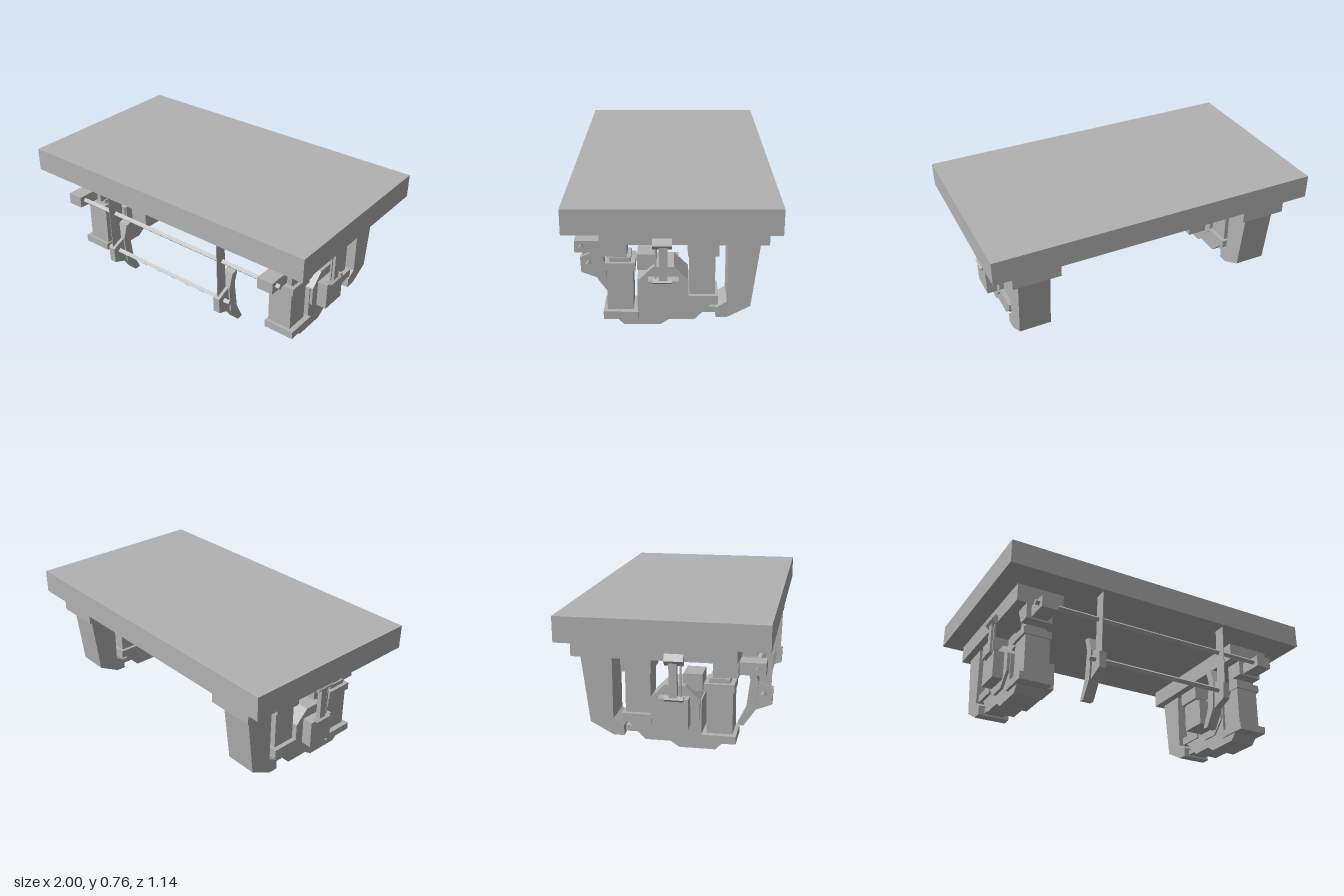
import * as THREE from 'three';

const grey = new THREE.MeshStandardMaterial({ color: 0xb2b2b2, flatShading: true });
grey.name = 'plain grey';

function add(parent, name, geometry) {
  const mesh = new THREE.Mesh(geometry, grey);
  mesh.name = name;
  parent.add(mesh);
  return mesh;
}

// Box given by its ranges on each axis
function box(parent, name, [x0, x1], [y0, y1], [z0, z1]) {
  const g = new THREE.BoxGeometry(Math.abs(x1 - x0), y1 - y0, z1 - z0);
  g.translate((x0 + x1) / 2, (y0 + y1) / 2, (z0 + z1) / 2);
  return add(parent, name, g);
}

// Outline of (z, y) points extruded across x
function sidePrism(parent, name, [xa, xb], points) {
  const shape = new THREE.Shape(points.map(([z, y]) => new THREE.Vector2(-z, y)));
  const g = new THREE.ExtrudeGeometry(shape, { depth: Math.abs(xb - xa), bevelEnabled: false });
  g.rotateY(Math.PI / 2);
  g.translate(Math.min(xa, xb), 0, 0);
  return add(parent, name, g);
}

// Outline of (x, y) points extruded along z
function lengthPrism(parent, name, points, [z0, z1]) {
  const shape = new THREE.Shape(points.map(([x, y]) => new THREE.Vector2(x, y)));
  const g = new THREE.ExtrudeGeometry(shape, { depth: z1 - z0, bevelEnabled: false });
  g.translate(0, 0, z0);
  return add(parent, name, g);
}

// Four-sided rod across the model
function crossRod(parent, name, halfLength, y, z) {
  const g = new THREE.CylinderGeometry(0.017, 0.017, halfLength * 2, 4);
  g.rotateZ(Math.PI / 2);
  g.translate(0, y, z);
  return add(parent, name, g);
}

function suspensionUnit(s) {
  const unit = new THREE.Group();
  unit.name = s > 0 ? 'leftSuspension' : 'rightSuspension';
  const X = (a, b) => [s * a, s * b];
  const full = X(0.645, 0.837);

  // Mounting beam and rear leg
  box(unit, 'mountingBeam', X(0.595, 0.88), [0.51, 0.62], [-0.517, 0.387]);
  sidePrism(unit, 'rearLeg', full, [
    [-0.30, 0.515], [-0.477, 0.515], [-0.43, 0.125], [-0.30, 0.055],
    [-0.24, 0.055], [-0.24, 0.115], [-0.30, 0.15],
  ]);
  box(unit, 'legLink', X(0.68, 0.80), [0.067, 0.10], [-0.245, -0.16]);

  // Lower cradle
  sidePrism(unit, 'cradle', X(0.655, 0.82), [
    [0.31, 0.045], [0.265, 0], [0.066, 0], [0.017, 0.033], [-0.124, 0.033],
    [-0.222, 0.135], [-0.222, 0.16], [-0.08, 0.16], [-0.08, 0.28], [0.19, 0.28], [0.19, 0.045],
  ]);

  // Front column stack
  box(unit, 'frontColumnBase', full, [0.043, 0.088], [0.185, 0.378]);
  box(unit, 'frontColumn', X(0.655, 0.805), [0.088, 0.33], [0.213, 0.357]);
  box(unit, 'frontColumnCap', X(0.65, 0.82), [0.33, 0.375], [0.20, 0.366]);
  box(unit, 'frontColumnCollar', X(0.67, 0.80), [0.375, 0.40], [0.225, 0.341]);
  box(unit, 'frontColumnNeck', X(0.68, 0.79), [0.40, 0.51], [0.246, 0.317]);
  sidePrism(unit, 'frontBracket', X(0.66, 0.82), [
    [0.387, 0.515], [0.267, 0.515], [0.312, 0.415], [0.387, 0.415],
  ]);
  box(unit, 'rodArm', X(0.69, 0.79), [0.425, 0.495], [0.387, 0.53]);

  // Rear column stack
  box(unit, 'rearColumnBase', full, [0.135, 0.185], [-0.253, -0.085]);
  box(unit, 'rearColumn', X(0.665, 0.81), [0.185, 0.425], [-0.235, -0.095]);
  box(unit, 'rearColumnHead', full, [0.425, 0.515], [-0.253, -0.085]);

  // Axle housing
  const octagon = [];
  for (let i = 0; i < 8; i++) {
    const a = (i + 0.5) * Math.PI / 4;
    octagon.push([0.046 + 0.147 * Math.cos(a), 0.227 + 0.147 * Math.sin(a)]);
  }
  sidePrism(unit, 'axleHousing', full, octagon);
  box(unit, 'axleBox', X(0.52, 0.90), [0.14, 0.306], [-0.036, 0.13]);
  box(unit, 'stopBlock', X(0.66, 0.80), [0.325, 0.42], [0.085, 0.19]);

  // Outer damper
  for (const [name, top, mid, low] of [
    ['damperTopMount', 0.555, 0.52, 0.49], ['damperLowerMount', 0.32, 0.306, 0.285],
  ]) {
    lengthPrism(unit, name, [
      [s * 0.893, top], [s * 0.868, mid], [s * 0.893, low], [s * 0.917, mid],
    ], [0, 0.105]);
  }
  box(unit, 'damperBar', X(0.877, 0.905), [0.31, 0.515], [0.025, 0.07]);
  box(unit, 'damperRod', X(0.886, 0.896), [0.31, 0.50], [0.083, 0.092]);

  // Brake shoe, its bracket and thin hanger
  sidePrism(unit, 'brakeShoe', X(0.388, 0.452), [
    [0.436, 0.36], [0.39, 0.37], [0.415, 0.287], [0.393, 0.115],
    [0.34, 0.005], [0.378, 0], [0.446, 0.10], [0.464, 0.272],
  ]);
  sidePrism(unit, 'brakeBracket', X(0.398, 0.441), [
    [0.547, 0.235], [0.464, 0.272], [0.446, 0.10], [0.543, 0.138],
  ]);
  sidePrism(unit, 'brakeHanger', X(0.418, 0.422), [
    [0.547, 0.618], [0.476, 0.618], [0.462, 0.25], [0.534, 0.22],
  ]);
  return unit;
}

export function createModel() {
  const model = new THREE.Group();
  model.name = 'undercarriage';
  box(model, 'deck', [-1, 1], [0.617, 0.76], [-0.57, 0.57]);
  for (const s of [1, -1]) model.add(suspensionUnit(s));
  crossRod(model, 'upperCrossRod', 0.815, 0.463, 0.49);
  crossRod(model, 'lowerCrossRod', 0.48, 0.203, 0.495);
  return model;
}
